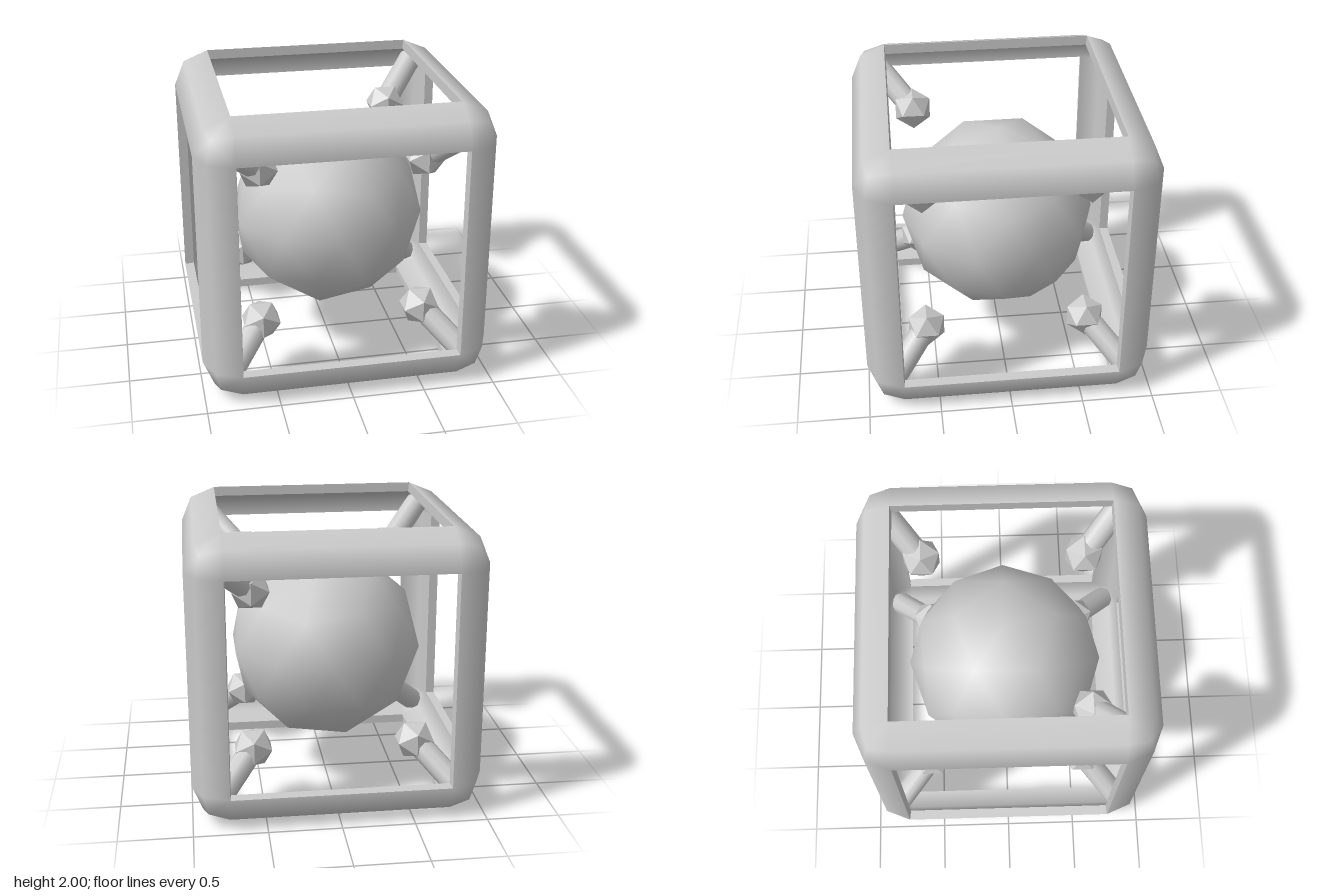
import * as THREE from 'three';

const material = new THREE.MeshStandardMaterial({ color: 0xcccccc });
const flatMaterial = new THREE.MeshStandardMaterial({ color: 0xcccccc, flatShading: true });
const OUTER = { core: 0.75, radius: 0.25, face: 1 };
const INNER = { core: 0.742, radius: 0.19, face: -1 };

const axis = (i, s) => new THREE.Vector3().setComponent(i, s);
const dir = (...v) => v.reduce((sum, a) => sum.add(a), new THREE.Vector3()).normalize();

// Hollow cube with rounded bars: an outer and an inner skin joined by lips
function frameGeometry() {
  const pos = [], nor = [];
  const point = (skin, corner, d) =>
    corner.clone().multiplyScalar(skin.core).addScaledVector(d, skin.radius);

  // Four corners in loop order, turned so the face looks along its normals
  const quad = (p, n) => {
    const g = p[2].clone().sub(p[0]).cross(p[3].clone().sub(p[1]));
    const facing = n.reduce((sum, v) => sum + g.dot(v), 0) > 0;
    for (const i of facing ? [0, 1, 2, 0, 2, 3] : [0, 2, 1, 0, 3, 2]) {
      pos.push(...p[i].toArray());
      nor.push(...n[i].toArray());
    }
  };
  const patch = (skin, corners, dirs) =>
    quad(dirs.map((d, i) => point(skin, corners[i], d)),
      dirs.map(d => d.clone().multiplyScalar(skin.face)));

  // Twelve bars
  for (let a = 0; a < 3; a++) for (const sb of [-1, 1]) for (const sc of [-1, 1]) {
    const eb = axis((a + 1) % 3, sb), ec = axis((a + 2) % 3, sc);
    const ends = [-1, 1].map(s => axis(a, s).add(eb).add(ec));
    const mid = dir(eb, ec);
    for (const [d, other] of [[eb, ec], [ec, eb]]) {
      for (const skin of [OUTER, INNER])
        patch(skin, [ends[0], ends[1], ends[1], ends[0]], [d, d, mid, mid]);
      // Lip around the window
      const n = other.clone().negate();
      quad([point(OUTER, ends[0], d), point(OUTER, ends[1], d),
        point(INNER, ends[1], d), point(INNER, ends[0], d)], [n, n, n, n]);
    }
  }

  // Eight rounded corners, three quads each
  for (const sx of [-1, 1]) for (const sy of [-1, 1]) for (const sz of [-1, 1]) {
    const e = [axis(0, sx), axis(1, sy), axis(2, sz)];
    const corner = new THREE.Vector3(sx, sy, sz);
    for (let i = 0; i < 3; i++) {
      const a = e[i], b = e[(i + 1) % 3], c = e[(i + 2) % 3];
      for (const skin of [OUTER, INNER])
        patch(skin, Array(4).fill(corner), [a, dir(a, b), dir(a, b, c), dir(a, c)]);
    }
  }

  const geo = new THREE.BufferGeometry();
  geo.setAttribute('position', new THREE.Float32BufferAttribute(pos, 3));
  geo.setAttribute('normal', new THREE.Float32BufferAttribute(nor, 3));
  return geo;
}

// Rod running from a frame corner towards the centre, ending in a faceted knob
function cornerProng(sx, sy, sz) {
  const prong = new THREE.Group();
  prong.name = 'cornerProng';
  const corner = new THREE.Vector3(sx, sy, sz);
  const near = 0.57, far = 0.86;

  const rod = new THREE.Mesh(
    new THREE.CylinderGeometry(0.085, 0.085, (far - near) * Math.sqrt(3), 10), material);
  rod.name = 'rod';
  rod.position.copy(corner).multiplyScalar((near + far) / 2);
  rod.quaternion.setFromUnitVectors(new THREE.Vector3(0, 1, 0), corner.clone().normalize());

  const knob = new THREE.Mesh(new THREE.IcosahedronGeometry(0.147, 0), flatMaterial);
  knob.name = 'knob';
  knob.position.copy(corner).multiplyScalar(0.567);

  prong.add(rod, knob);
  return prong;
}

export function createModel() {
  const model = new THREE.Group();
  model.name = 'cagedBall';

  const frame = new THREE.Mesh(frameGeometry(), material);
  frame.name = 'frame';

  // Ball with one vertex pointing straight up
  const ballGeo = new THREE.IcosahedronGeometry(0.69, 1);
  ballGeo.rotateZ(-Math.atan(2 / (1 + Math.sqrt(5))));
  const ball = new THREE.Mesh(ballGeo, material);
  ball.name = 'ball';
  model.add(frame, ball);

  // Prongs in every corner except the upper back right one
  for (const sx of [-1, 1]) for (const sy of [-1, 1]) for (const sz of [-1, 1]) {
    if (sx < 0 && sy > 0 && sz < 0) continue;
    model.add(cornerProng(sx, sy, sz));
  }

  for (const part of model.children) part.position.y += 1;
  return model;
}
